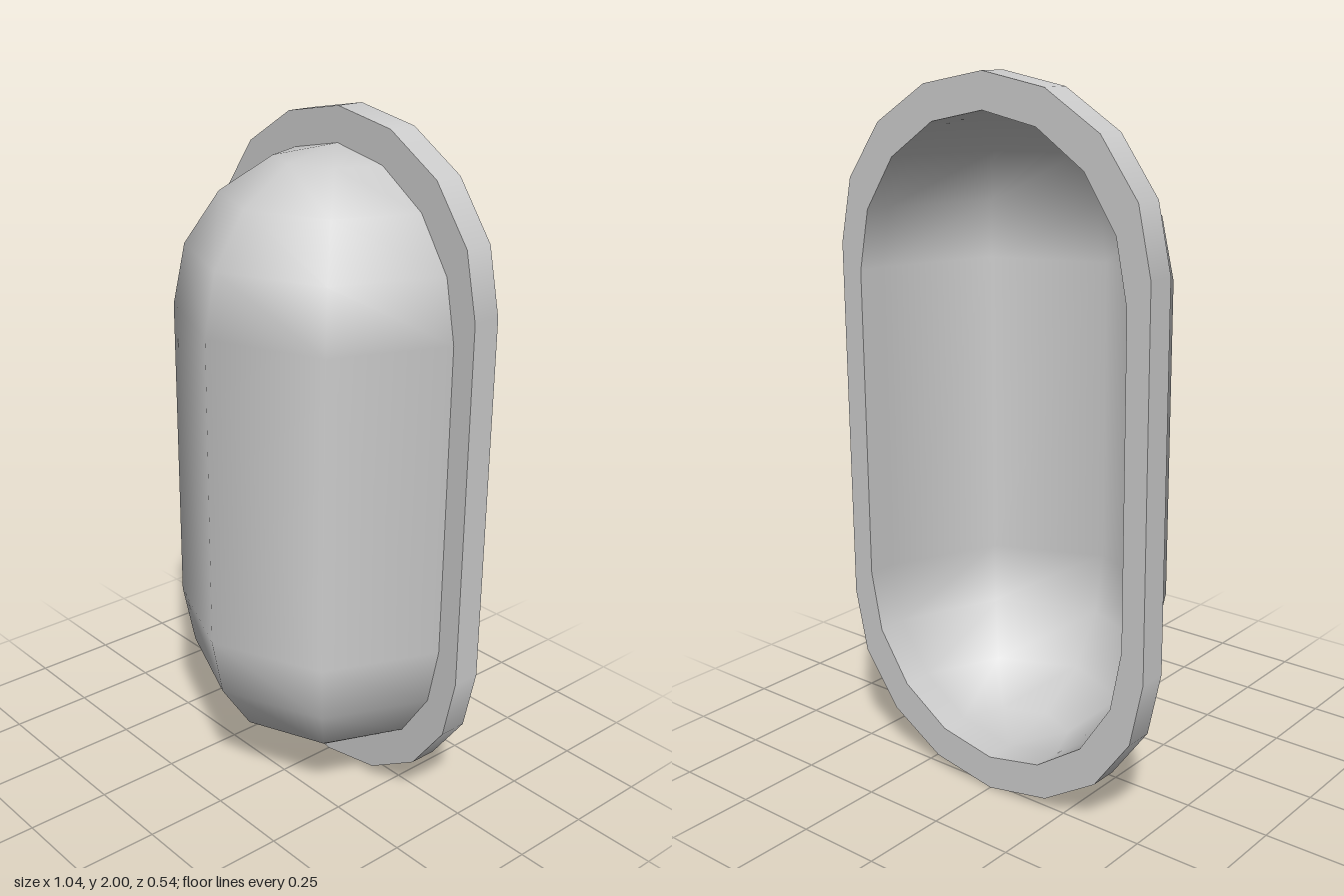
import * as THREE from 'three';

const STEP = Math.PI / 8;
const BACK = -0.27, FRONT = -0.185; // rim faces

// Smooth quad grid; fn(i, j) returns [position, normal]
function grid(nu, nv, fn) {
  const pos = [], nor = [], index = [];
  for (let j = 0; j <= nv; j++) {
    for (let i = 0; i <= nu; i++) {
      const [p, n] = fn(i, j);
      pos.push(...p);
      nor.push(...n);
      if (i < nu && j < nv) {
        const a = j * (nu + 1) + i, b = a + nu + 1;
        index.push(a, a + 1, b, a + 1, b + 1, b);
      }
    }
  }
  const g = new THREE.BufferGeometry();
  g.setAttribute('position', new THREE.Float32BufferAttribute(pos, 3));
  g.setAttribute('normal', new THREE.Float32BufferAttribute(nor, 3));
  g.setIndex(index);
  return g;
}

// Point i (0..17) of a counter-clockwise oblong outline with rounded ends
function outlinePoint(i, rx, ry) {
  const k = i % 18, top = k <= 8;
  const t = (top ? k : k - 1) * STEP;
  const cy = top ? 2 - 0.476 : 0.476;
  return { x: rx * Math.cos(t), y: cy + ry * Math.sin(t), t };
}

export function createModel() {
  const model = new THREE.Group();
  const grey = new THREE.MeshStandardMaterial({ color: 0xcccccc, side: THREE.DoubleSide });
  grey.name = 'light grey';
  const add = (name, geometry, parent) => {
    const mesh = new THREE.Mesh(geometry, grey);
    mesh.name = name;
    parent.add(mesh);
    return mesh;
  };

  // Half-capsule shell, open at the back, with a short skirt lining the rim
  const R = 0.453;
  add('domeShell', grid(6, 9, (i, j) => {
    const lat = (j <= 4 ? j - 4 : j - 5) * STEP;
    const cy = j <= 4 ? 0.55 : 1.45;
    const lon = Math.PI - THREE.MathUtils.clamp(i - 1, 0, 4) * Math.PI / 4;
    const n = [Math.cos(lat) * Math.cos(lon), Math.sin(lat), Math.cos(lat) * Math.sin(lon)];
    const skirt = i === 0 || i === 6;
    return [[R * n[0], cy + R * n[1], skirt ? BACK : FRONT + R * n[2]], n];
  }), model);

  // Flat rim around the opening
  const rim = new THREE.Group();
  rim.name = 'rim';
  model.add(rim);
  add('rimEdge', grid(18, 1, (i, j) => {
    const p = outlinePoint(i, 0.522, 0.476);
    return [[p.x, p.y, j ? FRONT : BACK], [Math.cos(p.t), Math.sin(p.t), 0]];
  }), rim);

  const ring = [], hole = [];
  for (let i = 0; i < 18; i++) {
    const o = outlinePoint(i, 0.522, 0.476);
    ring.push(new THREE.Vector2(o.x, o.y));
    const h = outlinePoint(i, R, R);
    hole.push(new THREE.Vector2(h.x, h.y + (i <= 8 ? -0.074 : 0.074)));
  }
  const face = new THREE.Shape(ring);
  face.holes.push(new THREE.Path(hole));
  add('rimFront', new THREE.ShapeGeometry(face), rim).position.z = FRONT;
  const back = add('rimBack', new THREE.ShapeGeometry(face), rim);
  back.rotation.y = Math.PI;
  back.position.z = BACK;

  return model;
}
